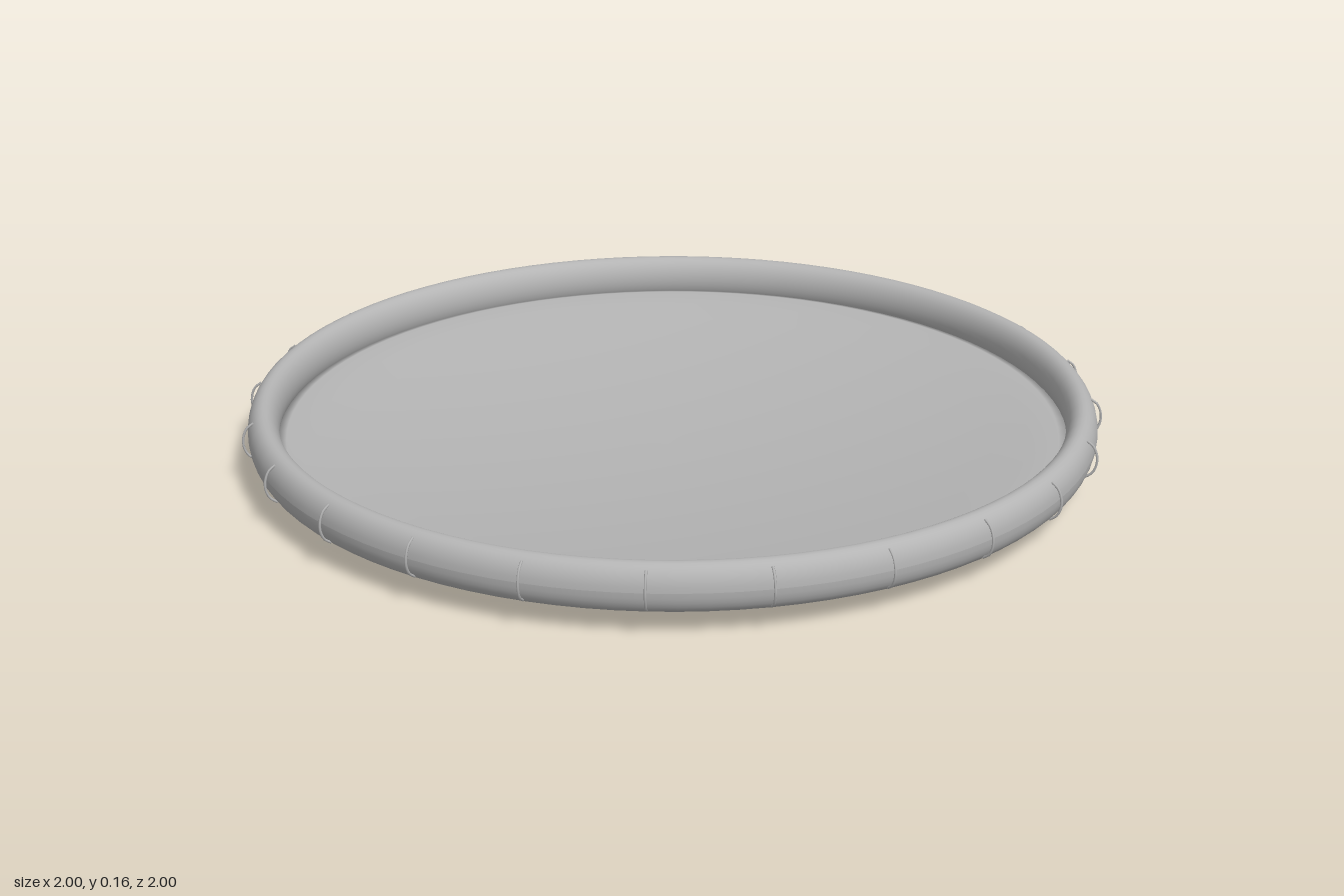
import * as THREE from 'three';

const SEGMENTS = 96;
const CLIPS = 24;

export function createModel() {
  const model = new THREE.Group();
  const grey = new THREE.MeshStandardMaterial({ color: 0xb4b4b4 });
  grey.name = 'grey';

  const add = (geometry, name, parent = model) => {
    const mesh = new THREE.Mesh(geometry, grey);
    mesh.name = name;
    parent.add(mesh);
    return mesh;
  };

  // Rim: an upright oval section swept round the axis
  const oval = [];
  for (let i = 0; i <= 28; i++) {
    const a = (i / 28) * Math.PI * 2;
    oval.push(new THREE.Vector2(0.95 + 0.036 * Math.cos(a), 0.11 + 0.055 * Math.sin(a)));
  }
  add(new THREE.LatheGeometry(oval, SEGMENTS), 'rim');

  // Sagging disc: thin shell, underside out to a rounded edge, then back along the top
  const sag = (r) => 0.004 + 0.092 * r * r;
  const shell = [];
  for (let i = 0; i <= 10; i++) shell.push(new THREE.Vector2(i * 0.083, sag(i * 0.083)));
  shell.push(new THREE.Vector2(0.9, 0.074), new THREE.Vector2(0.925, 0.078), new THREE.Vector2(0.9, 0.083));
  for (let i = 10; i >= 0; i--) shell.push(new THREE.Vector2(i * 0.083, sag(i * 0.083) + 0.008));
  add(new THREE.LatheGeometry(shell, SEGMENTS), 'sunkenDisc');

  // Small wire loops spaced evenly round the outside of the rim
  const clips = new THREE.Group();
  clips.name = 'wireClips';
  model.add(clips);
  const wire = new THREE.CatmullRomCurve3([
    [0.972, 0.154], [0.988, 0.142], [0.997, 0.12], [0.997, 0.098], [0.988, 0.078], [0.972, 0.066],
  ].map(([x, y]) => new THREE.Vector3(x, y, 0)));
  const wireGeometry = new THREE.TubeGeometry(wire, 12, 0.003, 6);
  for (let i = 0; i < CLIPS; i++) {
    add(wireGeometry, 'wireClip', clips).rotation.y = (i / CLIPS) * Math.PI * 2;
  }

  return model;
}
